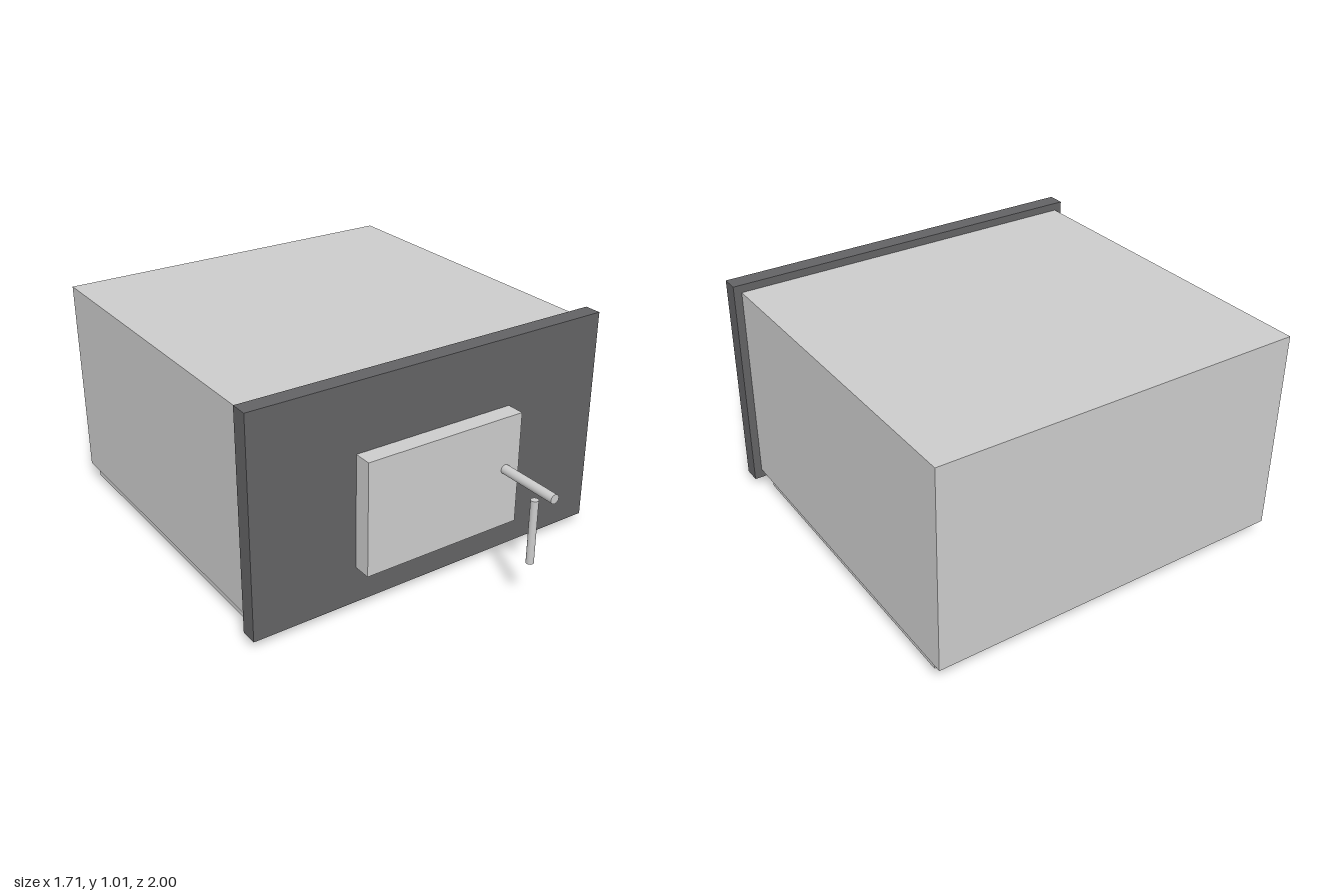
import * as THREE from 'three';

const grey = new THREE.MeshStandardMaterial({ color: 0xcccccc });
const dark = new THREE.MeshStandardMaterial({ color: 0x626264 });

// Box given by its minimum and maximum corners
function box(name, [x0, y0, z0], [x1, y1, z1], material = grey) {
  const mesh = new THREE.Mesh(new THREE.BoxGeometry(x1 - x0, y1 - y0, z1 - z0), material);
  mesh.position.set((x0 + x1) / 2, (y0 + y1) / 2, (z0 + z1) / 2);
  mesh.name = name;
  return mesh;
}

// Round rod between two points
function rod(name, from, to, radius) {
  const a = new THREE.Vector3(...from);
  const b = new THREE.Vector3(...to);
  const mesh = new THREE.Mesh(new THREE.CylinderGeometry(radius, radius, a.distanceTo(b), 32), grey);
  mesh.position.copy(a).lerp(b, 0.5);
  mesh.quaternion.setFromUnitVectors(new THREE.Vector3(0, 1, 0), b.sub(a).normalize());
  mesh.name = name;
  return mesh;
}

export function createModel() {
  const model = new THREE.Group();
  model.name = 'cabinet';

  // Main housing with its overhanging front panel
  model.add(box('housing', [-0.82, 0.075, -1], [0.82, 0.98, 0.55]));
  model.add(box('frontPanel', [-0.855, 0.035, 0.545], [0.855, 1.015, 0.622], dark));

  // Control box and the two rods in front of it
  model.add(box('controlBox', [-0.38, 0.2, 0.62], [0.38, 0.71, 0.703]));
  model.add(rod('horizontalRod', [0.307, 0.471, 0.7], [0.307, 0.471, 1], 0.021));
  model.add(rod('verticalRod', [0.216, 0.2, 0.982], [0.216, 0.49, 0.982], 0.0165));

  // Pair of bottom doors, each with a slim handle beside the gap
  for (const [side, s] of [['left', 1], ['right', -1]]) {
    const inner = 0.013 * s, outer = 0.805 * s;
    model.add(box(side + 'BottomDoor',
      [Math.min(inner, outer), 0.032, -0.942], [Math.max(inner, outer), 0.075, 0.457]));
    model.add(rod(side + 'DoorHandle', [0.063 * s, 0.01, -0.305], [0.063 * s, 0.01, -0.128], 0.01));
  }
  return model;
}
